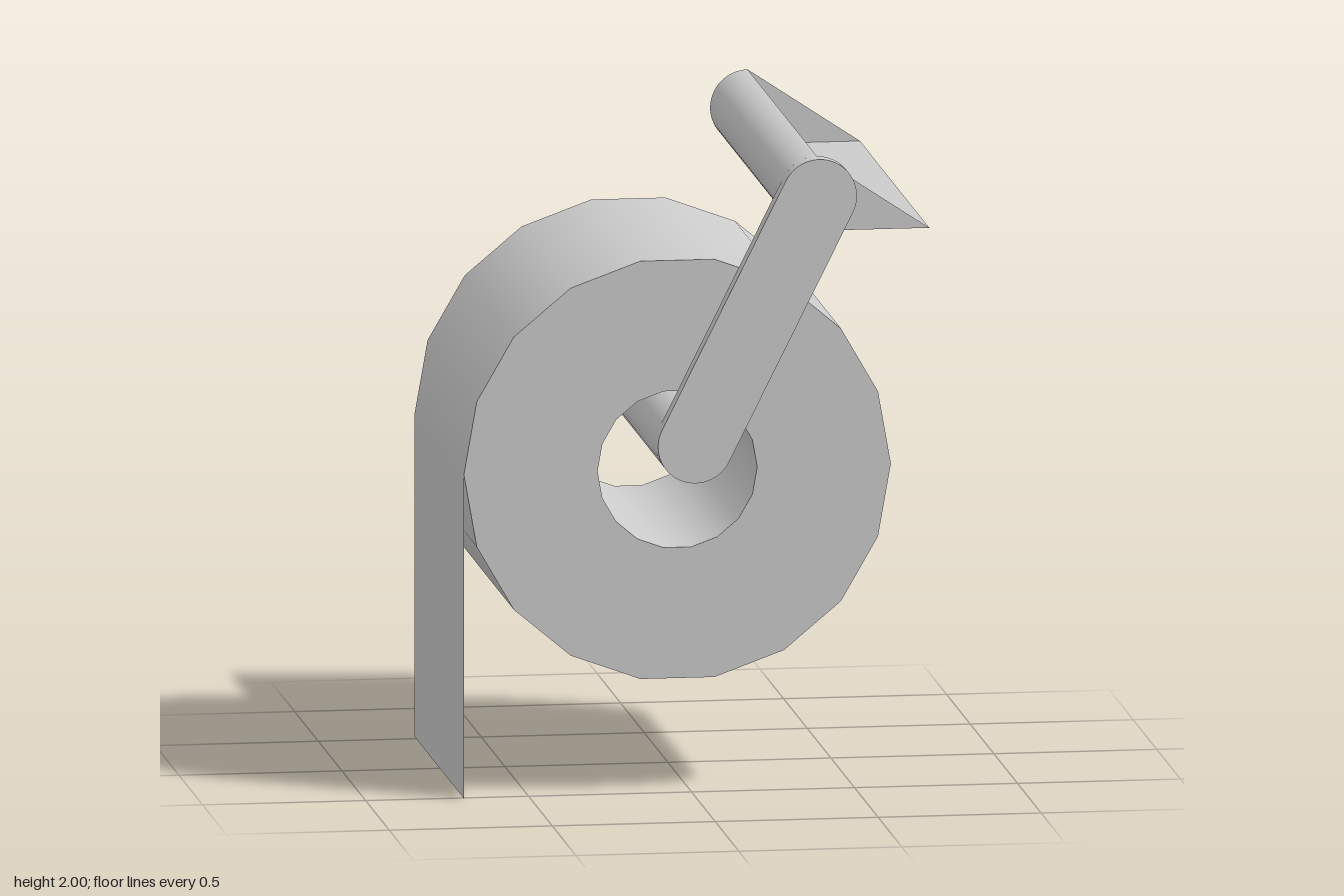
import * as THREE from 'three';
import { mergeGeometries, toCreasedNormals } from 'three/addons/utils/BufferGeometryUtils.js';

const grey = new THREE.MeshStandardMaterial({ color: 0xcccccc });
const greyThin = new THREE.MeshStandardMaterial({ color: 0xcccccc, side: THREE.DoubleSide });

const ROD = { x: -0.03, y: 1.122 };    // axis of the spindle
const PIVOT = { x: 0.35, y: 1.882 };   // rounded edge of the cover
const R = 0.115;

function part(name, geometry, material = grey) {
  const mesh = new THREE.Mesh(geometry, material);
  mesh.name = name;
  return mesh;
}

// Turned part along z from [radius, z] points, smooth around and sharp between segments
function turned(profile, sides, x, y) {
  const bands = [];
  for (let i = 0; i < profile.length - 1; i++) {
    const pair = [profile[i], profile[i + 1]].map(([r, z]) => new THREE.Vector2(r, z));
    bands.push(new THREE.LatheGeometry(pair, sides, Math.PI / 2));
  }
  return mergeGeometries(bands).rotateX(Math.PI / 2).translate(x, y, 0);
}

// Flat bar with round ends, running from the spindle to the cover
function armGeometry() {
  const a = Math.atan2(PIVOT.y - ROD.y, PIVOT.x - ROD.x);
  const shape = new THREE.Shape();
  shape.absarc(PIVOT.x, PIVOT.y, R, a - Math.PI / 2, a + Math.PI / 2);
  shape.absarc(ROD.x, ROD.y, R, a + Math.PI / 2, a + Math.PI * 1.5);
  shape.closePath();
  const bar = new THREE.ExtrudeGeometry(shape, { depth: 0.055, bevelEnabled: false, curveSegments: 16 });
  return toCreasedNormals(bar.translate(0, 0, 0.737), 0.6);
}

// Thin cover: round on the left, open on the right, closed front and back
function createCover() {
  const cover = new THREE.Group();
  cover.name = 'cover';
  const right = 0.695, back = -0.727, front = 0.737;
  const outline = new THREE.Shape();
  outline.moveTo(right, PIVOT.y + R);
  outline.absarc(PIVOT.x, PIVOT.y, R, Math.PI / 2, Math.PI * 1.5);
  outline.lineTo(right, PIVOT.y - R);
  const points = outline.getPoints(16);

  const wall = new THREE.PlaneGeometry(1, 1, points.length - 1, 1);
  const pos = wall.attributes.position;
  for (let i = 0; i < pos.count; i++) {
    const p = points[i % points.length];
    pos.setXYZ(i, p.x, p.y, i < points.length ? back : front);
  }
  wall.computeVertexNormals();
  cover.add(part('coverWall', wall, greyThin));

  for (const [name, z] of [['coverFrontEnd', front], ['coverBackEnd', back]]) {
    cover.add(part(name, new THREE.ShapeGeometry(outline, 16).translate(0, 0, z), greyThin));
  }
  return cover;
}

export function createModel() {
  const model = new THREE.Group();
  model.name = 'toiletPaperHolder';

  // Paper roll with its hollow core
  const inner = 0.245, outer = 0.655, z0 = -0.53, z1 = 0.51;
  const rollProfile = [[inner, z0], [outer, z0], [outer, z1], [inner, z1], [inner, z0]];
  model.add(part('paperRoll', turned(rollProfile, 18, -0.045, 1)));

  // Loose sheet hanging from the roll
  const sheet = new THREE.PlaneGeometry(z1 - z0, 1).rotateY(-Math.PI / 2);
  model.add(part('hangingSheet', sheet.translate(-0.7, 0.5, (z0 + z1) / 2), greyThin));

  // Spindle and its end disc
  model.add(part('spindle', turned([[0, -0.757], [R, -0.757], [R, 0.74], [0, 0.74]], 32, ROD.x, ROD.y)));
  model.add(part('endDisc', turned([[0, -0.794], [0.162, -0.794], [0.162, -0.757], [0, -0.757]], 32, ROD.x, ROD.y)));

  model.add(part('arm', armGeometry()));
  model.add(createCover());
  return model;
}
